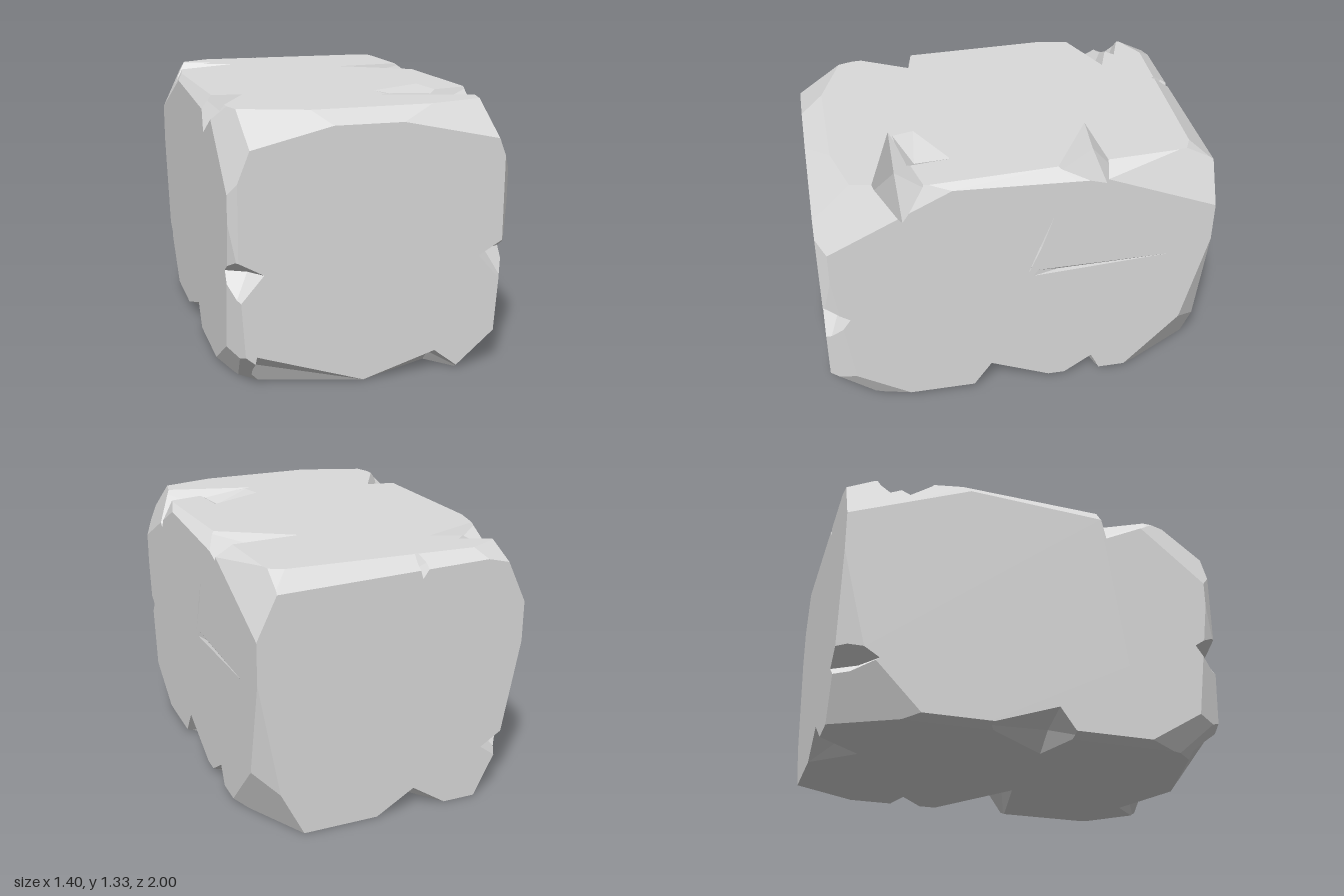
import * as THREE from 'three';

const EPS = 1e-6;
const HALF = [0.7, 0.665, 1];

// Worn corners on both sides: where each cut meets the x, y and z edges,
// as distances from the corner that the signs pick out
const pairedBevels = [
  [0.15, -0.83, -0.2], [0.13, -0.6, -0.27], [0.227, -0.45, -0.43], [0.139, 0.29, -0.72],
  [0.078, -1.2, 0.16], [0.28, -0.24, 0.31], [0.15, -0.28, 0.45], [0.04, 20, 0.05],
  [0.4, 0.1, -0.2], [0.06, -0.025, 20],
];

// Worn corners and edges on one side only
const singleBevels = [
  [20, 0.06, 0.12], [-0.74, 0.174, 0.26], [0.83, 0.18, 0.216], [0.138, 0.35, 0.72],
  [-0.16, 0.4, 0.5], [0.114, 0.083, -2], [-0.072, 0.097, 2.08], [2.73, 0.081, -0.117],
];

// Notches in the edges: signed reach over the two faces (0 along the edge),
// then where the notch starts, is deepest and ends along the edge
const edgeNotches = [
  // top
  [-0.37, 0.11, 0, -0.82, -0.68, -0.53], [-0.26, 0.11, 0, -0.88, -0.78, -0.55],
  [0.44, 0.08, 0, -0.45, -0.42, -0.15], [0.54, 0.18, 0, 0.46, 0.58, 0.73],
  [-0.2, 0.18, 0, 0.35, 0.39, 0.75], [0, 0.1, -0.1, -0.2, -0.13, -0.1],
  // upright
  [0.16, 0, 0.13, -0.265, -0.08, 0.01], [-0.16, 0, 0.13, -0.265, -0.08, 0.01],
  [-0.2, 0, -0.2, -0.54, -0.39, -0.265],
  // bottom
  [0, -0.18, 0.15, -0.62, -0.58, -0.05], [0, -0.11, 0.15, -0.05, 0.32, 0.46],
  [0.5, -0.16, 0, -0.22, 0.15, 0.26], [0.2, -0.12, 0, -0.46, -0.4, -0.22],
  [-0.3, -0.14, 0, -0.3, 0.1, 0.2], [0, -0.12, -0.22, -0.3, -0.12, 0.08],
];

// Shallow cracks in the left side and a chip in the top: deepest point, then rim
const pits = [
  [[0.693, 0.087, -0.2], [0.702, 0.055, -0.03], [0.702, 0.1, -0.06], [0.702, 0.105, -0.95]],
  [[0.69, 0.235, -0.1], [0.701, 0.435, -0.17], [0.701, 0.235, -0.094], [0.701, 0.055, -0.03], [0.701, 0.235, -0.106]],
  [[0.4, 0.615, 0.48], [0.15, 0.67, 0.45], [0.47, 0.67, 0.29], [0.5, 0.67, 0.55], [0.18, 0.67, 0.57]],
];

const mirror = ([x, y, z]) => [-x, y, z];

// Plane that cuts a corner of the block at the given signed distances
function bevelPlane(cut) {
  const normal = new THREE.Vector3(...cut.map((d) => 1 / d));
  const corner = new THREE.Vector3(...cut.map((d, i) => Math.sign(d) * HALF[i]));
  return new THREE.Plane(normal, 1 - normal.dot(corner)).normalize();
}

// Planes of a pyramid that opens outward from its deepest point
function pyramid(points) {
  const [apex, ...rim] = points.map((p) => new THREE.Vector3(...p));
  const middle = rim.reduce((sum, p) => sum.add(p), new THREE.Vector3()).divideScalar(rim.length);
  return rim.map((p, i) => {
    const plane = new THREE.Plane().setFromCoplanarPoints(apex, p, rim[(i + 1) % rim.length]);
    return plane.distanceToPoint(middle) > 0 ? plane.negate() : plane;
  });
}

// Four-sided pyramid straddling one edge of the block
function edgeNotch([rx, ry, rz, start, deepest, end]) {
  const reach = [rx, ry, rz];
  const along = reach.indexOf(0);
  const point = (at, inset) => reach.map((r, i) => (i === along ? at : Math.sign(r) * HALF[i] - r * inset[i]));
  const onFace = (axis) => point(deepest, [0, 1, 2].map((i) => (i === axis ? 1 : 0)));
  return pyramid([
    point(deepest, [0.6, 0.6, 0.6]),
    point(start, [0, 0, 0]), onFace((along + 1) % 3),
    point(end, [0, 0, 0]), onFace((along + 2) % 3),
  ]);
}

// Very large square lying on a plane, counter-clockwise from its front
function bigQuad(plane) {
  const n = plane.normal;
  const up = Math.abs(n.y) < 0.9 ? new THREE.Vector3(0, 1, 0) : new THREE.Vector3(1, 0, 0);
  const u = up.cross(n).normalize();
  const v = n.clone().cross(u);
  const o = n.clone().multiplyScalar(-plane.constant);
  return [[-5, -5], [5, -5], [5, 5], [-5, 5]].map(([s, t]) => o.clone().addScaledVector(u, s).addScaledVector(v, t));
}

// Part of a convex polygon behind (side = 1) or in front of (side = -1) a plane
function clip(poly, plane, side) {
  const out = [];
  poly.forEach((p, i) => {
    const q = poly[(i + 1) % poly.length];
    const a = plane.distanceToPoint(p) * side, b = plane.distanceToPoint(q) * side;
    if (a <= EPS) out.push(p);
    if ((a < -EPS && b > EPS) || (a > EPS && b < -EPS)) out.push(p.clone().lerp(q, a / (a - b)));
  });
  return out.length > 2 ? out : [];
}

// Face of a convex solid: one plane trimmed by the others
const trimmedFace = (plane, planes) => planes.reduce((poly, p) => (p === plane ? poly : clip(poly, p, 1)), bigQuad(plane));

// Pieces of a polygon left after a convex notch is taken away
function subtract(poly, notch) {
  const pieces = [];
  let rest = poly;
  for (const plane of notch) {
    const outer = clip(rest, plane, -1);
    if (outer.length) pieces.push(outer);
    rest = clip(rest, plane, 1);
    if (!rest.length) return [poly];
  }
  return pieces;
}

export function createModel() {
  // Six flat sides, then the worn corners and edges
  const block = [...pairedBevels, ...pairedBevels.map(mirror), ...singleBevels].map(bevelPlane);
  HALF.forEach((h, i) => {
    for (const s of [-1, 1]) block.push(new THREE.Plane(new THREE.Vector3().setComponent(i, s), -h));
  });
  const notches = [...edgeNotches.map(edgeNotch), ...pits.map(pyramid)];

  const positions = [];
  const addFace = (poly, cutters) => {
    const pieces = cutters.reduce((list, notch) => list.flatMap((p) => subtract(p, notch)), [poly]);
    for (const p of pieces) {
      for (let i = 1; i < p.length - 1; i++) {
        for (const v of [p[0], p[i], p[i + 1]]) positions.push(v.x, v.y, v.z);
      }
    }
  };

  // Outer faces
  for (const plane of block) {
    const face = trimmedFace(plane, block);
    if (face.length) addFace(face, notches);
  }
  // Inner faces of the notches
  for (const notch of notches) {
    const others = notches.filter((other) => other !== notch);
    for (const plane of notch) {
      const face = trimmedFace(plane, [...notch, ...block]);
      if (face.length) addFace(face.reverse(), others);
    }
  }

  const geometry = new THREE.BufferGeometry();
  geometry.setAttribute('position', new THREE.Float32BufferAttribute(positions, 3));
  geometry.computeVertexNormals();

  const stone = new THREE.MeshStandardMaterial({ color: 0xdadada });
  stone.name = 'stone grey';
  const mesh = new THREE.Mesh(geometry, stone);
  mesh.name = 'chippedStoneBlock';
  mesh.position.y = HALF[1];
  const group = new THREE.Group();
  group.name = 'stoneBlock';
  group.add(mesh);
  return group;
}
